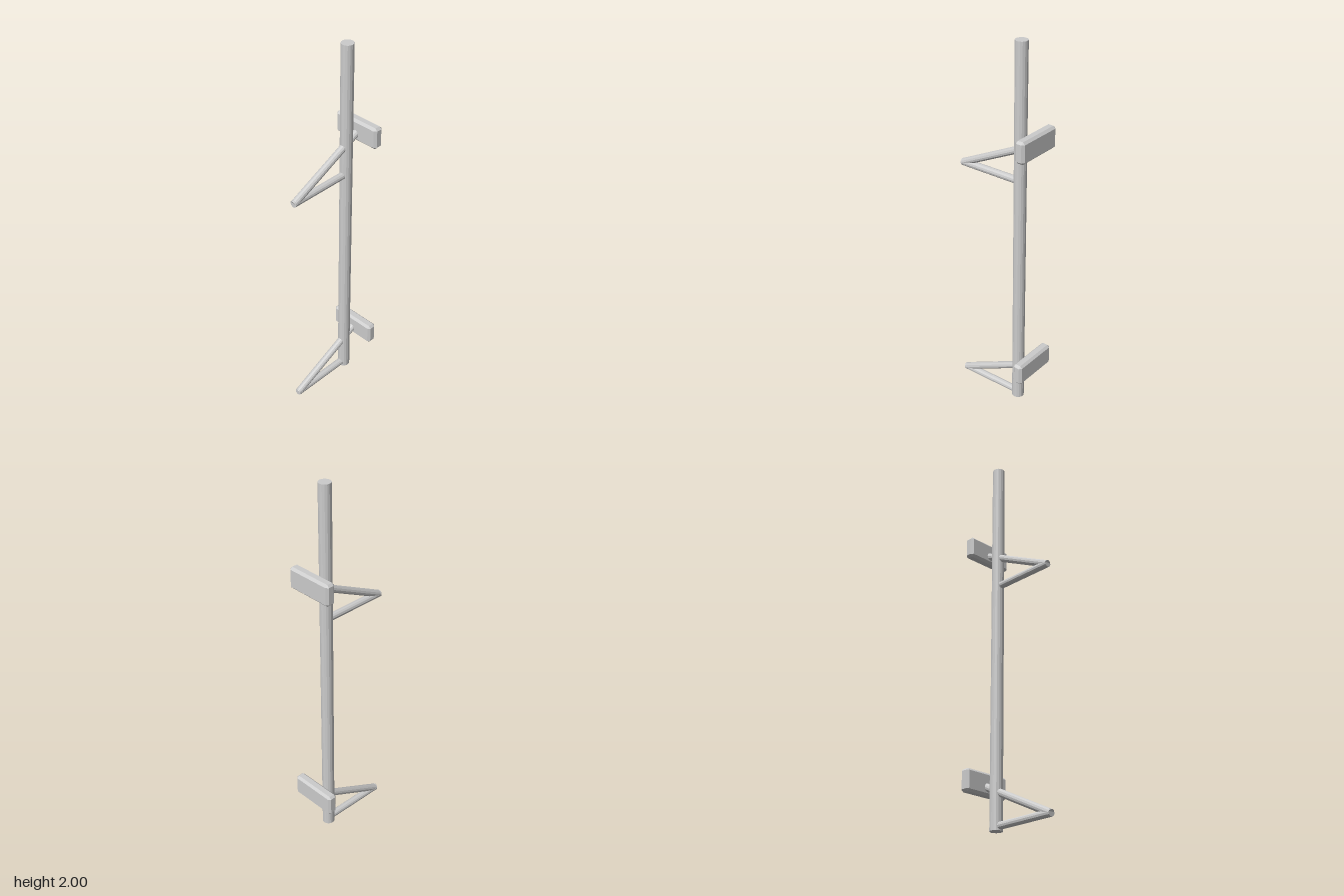
import * as THREE from 'three';
import { ConvexGeometry } from 'three/addons/geometries/ConvexGeometry.js';

const material = new THREE.MeshStandardMaterial({ color: 0xcccccc, flatShading: true });
const POLE_Z = -0.127;

// Straight rod between two points
function rod(name, from, to, radius, sides) {
  const a = new THREE.Vector3(...from), b = new THREE.Vector3(...to);
  const mesh = new THREE.Mesh(new THREE.CylinderGeometry(radius, radius, a.distanceTo(b), sides), material);
  mesh.name = name;
  mesh.position.copy(a).add(b).multiplyScalar(0.5);
  mesh.quaternion.setFromUnitVectors(new THREE.Vector3(0, 1, 0), b.sub(a).normalize());
  return mesh;
}

// Box with every edge cut at 45 degrees
function chamferedBox(w, h, d, c) {
  const points = [];
  for (const sx of [-1, 1]) for (const sy of [-1, 1]) for (const sz of [-1, 1]) {
    for (let axis = 0; axis < 3; axis++) {
      const inset = [c, c, c];
      inset[axis] = 0;
      points.push(new THREE.Vector3(
        sx * (w / 2 - inset[0]), sy * (h / 2 - inset[1]), sz * (d / 2 - inset[2])));
    }
  }
  return new ConvexGeometry(points);
}

// Triangular bracket: level rod, sloping brace and rear plate
function bracket(name, y) {
  const group = new THREE.Group();
  group.name = name;
  group.position.y = y;
  group.add(rod('levelRod', [0, 0.023, POLE_Z], [0, 0.023, 0.232], 0.019, 12));
  group.add(rod('slopingBrace', [0, 0.235, -0.21], [0, 0.021, 0.229], 0.019, 12));
  const plate = new THREE.Mesh(chamferedBox(0.262, 0.115, 0.053, 0.012), material);
  plate.name = 'rearPlate';
  plate.position.set(0, 0.243, -0.2145);
  group.add(plate);
  return group;
}

export function createModel() {
  const model = new THREE.Group();
  model.name = 'bracketedPole';
  model.add(rod('pole', [0, 0, POLE_Z], [0, 2, POLE_Z], 0.032, 16));
  model.add(bracket('lowerBracket', 0));
  model.add(bracket('upperBracket', 1.266));
  return model;
}
